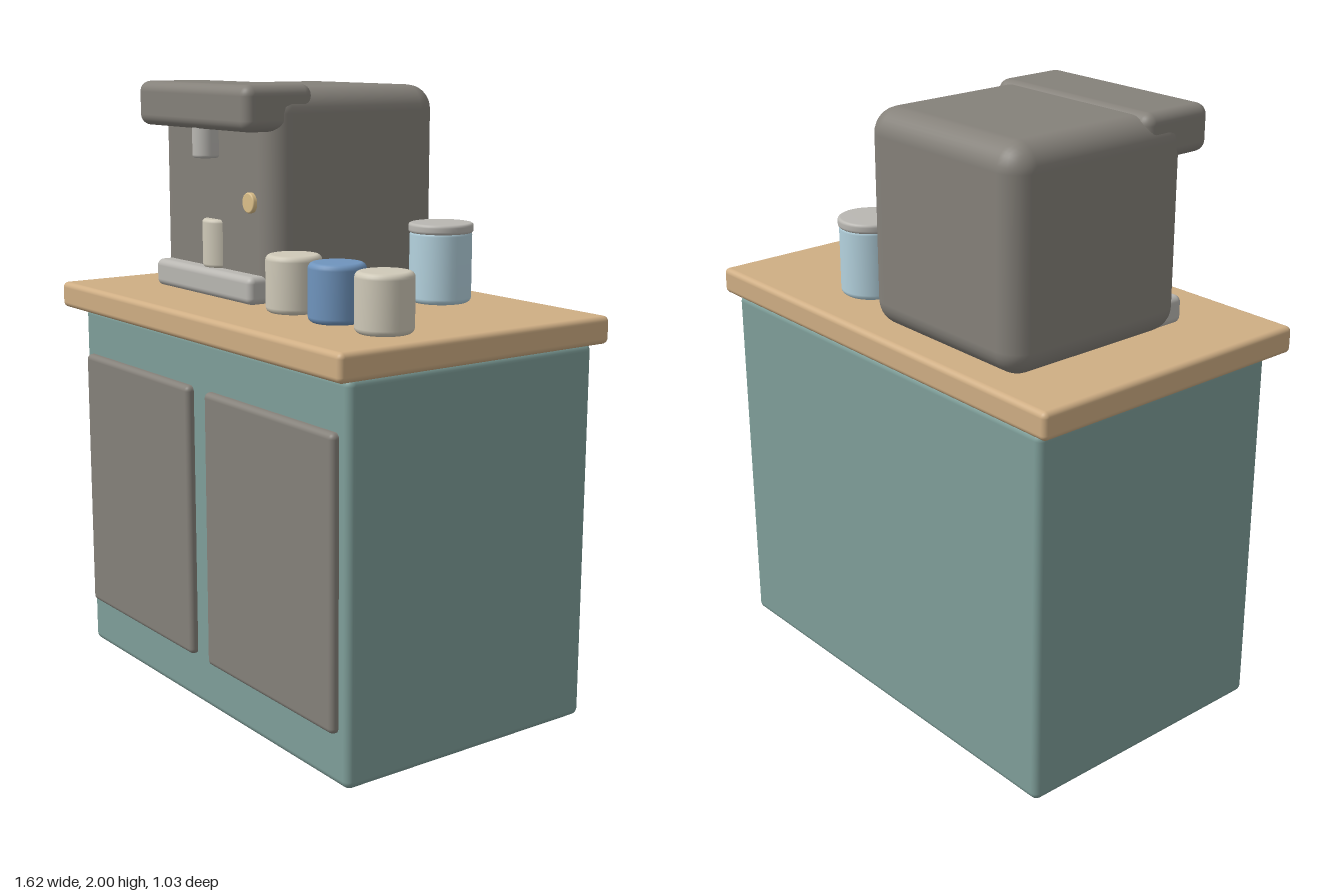
import * as THREE from 'three';
import { RoundedBoxGeometry } from 'three/addons/geometries/RoundedBoxGeometry.js';

const paint = (color) => new THREE.MeshStandardMaterial({ color });
const teal = paint(0x7f9f9a), wood = paint(0xcfae84), dark = paint(0x85817a);
const steel = paint(0xb9b7b2), cream = paint(0xcfc9b8), blue = paint(0x6f94bd);
const glass = paint(0xb4d2de), brass = paint(0xdcc08a);

export function createModel() {
  const model = new THREE.Group();

  const add = (name, geometry, material, parent = model) => {
    const mesh = new THREE.Mesh(geometry, material);
    mesh.name = name;
    parent.add(mesh);
    return mesh;
  };

  // Rounded box given by its extents [min, max] on each axis
  const block = (name, [x0, x1], [y0, y1], [z0, z1], radius, material, parent) => {
    const geometry = new RoundedBoxGeometry(x1 - x0, y1 - y0, z1 - z0, 4, radius);
    geometry.translate((x0 + x1) / 2, (y0 + y1) / 2, (z0 + z1) / 2);
    return add(name, geometry, material, parent);
  };

  // Solid cylinder with rounded rims, standing on its base
  const drum = (name, radius, height, bevel, material, [x, y, z], parent) => {
    const profile = [new THREE.Vector2(0, 0)];
    for (let i = 0; i <= 4; i++) {
      const a = (i / 4) * Math.PI / 2;
      profile.push(new THREE.Vector2(radius - bevel + bevel * Math.sin(a), bevel - bevel * Math.cos(a)));
    }
    for (let i = 0; i <= 4; i++) {
      const a = (i / 4) * Math.PI / 2;
      profile.push(new THREE.Vector2(radius - bevel + bevel * Math.cos(a), height - bevel + bevel * Math.sin(a)));
    }
    profile.push(new THREE.Vector2(0, height));
    const mesh = add(name, new THREE.LatheGeometry(profile, 40), material, parent);
    mesh.position.set(x, y, z);
    return mesh;
  };

  // Cabinet with two doors and a worktop
  block('cabinet', [-0.765, 0.765], [0, 1.225], [-0.49, 0.45], 0.025, teal);
  block('rightDoor', [-0.725, -0.05], [0.165, 1.065], [0.42, 0.475], 0.018, dark);
  block('leftDoor', [0.042, 0.72], [0.165, 1.065], [0.42, 0.475], 0.018, dark);
  block('worktop', [-0.81, 0.81], [1.225, 1.312], [-0.515, 0.515], 0.018, wood);

  // Coffee machine
  const machine = new THREE.Group();
  machine.name = 'coffeeMachine';
  model.add(machine);
  block('machineBody', [-0.612, 0.066], [1.312, 1.99], [-0.45, 0.225], 0.08, dark, machine);
  block('machineHead', [-0.606, 0.06], [1.855, 2], [0.055, 0.315], 0.035, dark, machine);
  block('dripTray', [-0.565, 0.02], [1.312, 1.402], [0.08, 0.28], 0.022, steel, machine);
  drum('spout', 0.045, 0.13, 0.01, steel, [-0.275, 1.76, 0.25], machine);
  drum('trayCup', 0.061, 0.16, 0.012, cream, [-0.275, 1.4, 0.197], machine);
  const knob = drum('knob', 0.033, 0.04, 0.005, brass, [-0.05, 1.63, 0.2], machine);
  knob.rotation.x = Math.PI / 2;

  // Row of cups
  [[0.178, cream], [0.402, blue], [0.63, cream]].forEach(([x, material], i) =>
    drum('cup' + (i + 1), 0.088, 0.18, 0.018, material, [x, 1.312, 0.222]));

  // Storage jar with lid
  drum('jar', 0.1, 0.235, 0.018, glass, [0.29, 1.312, -0.273]);
  drum('jarLid', 0.104, 0.032, 0.01, steel, [0.29, 1.535, -0.273]);

  return model;
}
